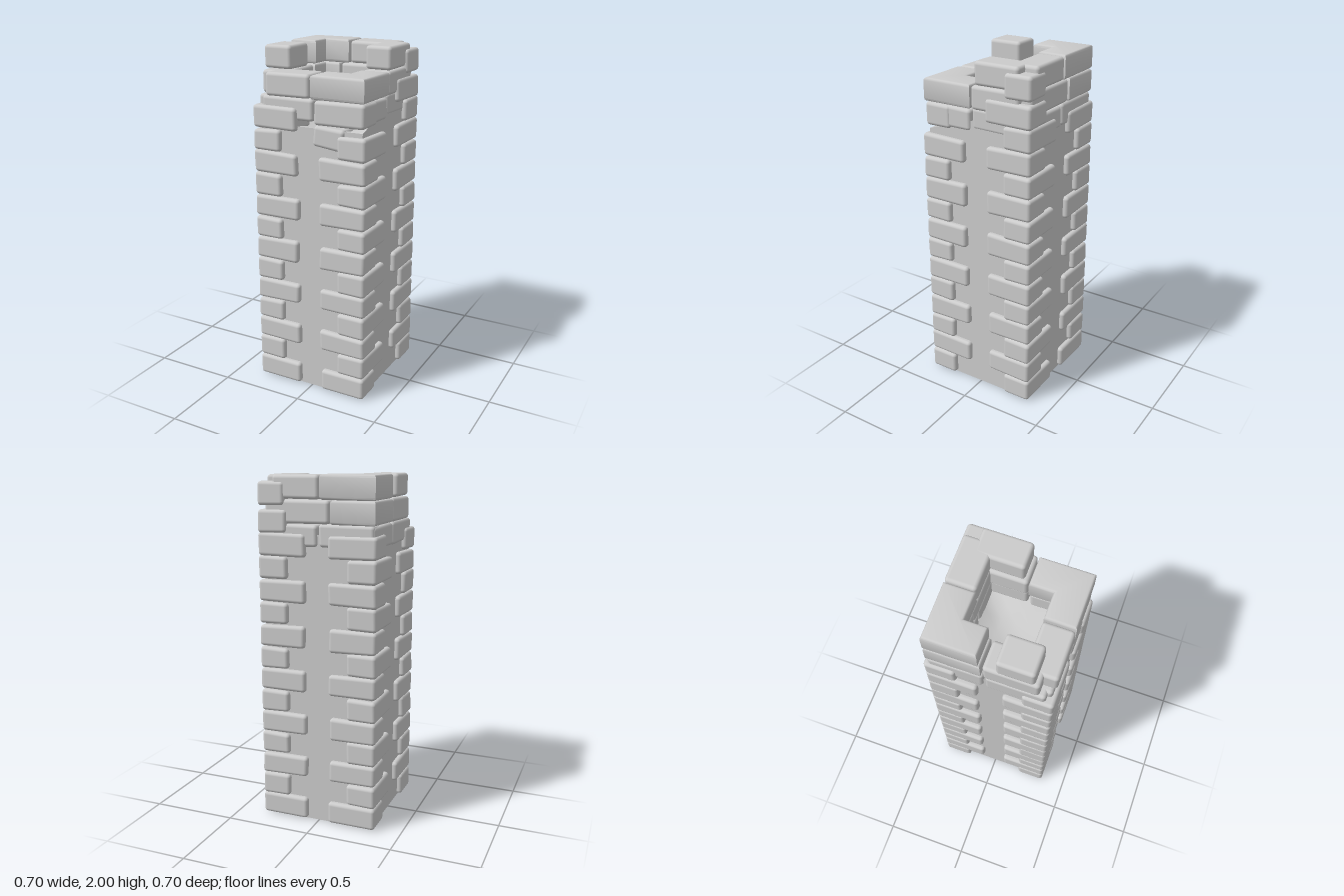
import * as THREE from 'three';
import { RoundedBoxGeometry } from 'three/addons/geometries/RoundedBoxGeometry.js';
import { toCreasedNormals } from 'three/addons/utils/BufferGeometryUtils.js';

const material = new THREE.MeshStandardMaterial({ color: 0xcccccc });

// Small seeded generator, returns -1..1
let seed = 7;
function jitter() {
  seed = (seed * 16807) % 2147483647;
  return (seed / 2147483647) * 2 - 1;
}

// Worn block given by its extents, slightly tapered and skewed
function stone(name, x0, x1, y0, y1, z0, z1, wear = 1, tilt = 0) {
  const w = x1 - x0, h = y1 - y0, d = z1 - z0;
  const geo = new RoundedBoxGeometry(w, h, d, 3, 0.02);
  const p = geo.attributes.position;
  const [tx, tz, sx, sz] = [0.1, 0.1, 0.02, 0.02].map((k) => k * wear * jitter());
  for (let i = 0; i < p.count; i++) {
    const x = p.getX(i), y = p.getY(i), z = p.getZ(i);
    p.setY(i, y * (1 + (tx * x) / w + (tz * z) / d) + sx * x + sz * z);
    p.setX(i, x + (sx * y * w) / h);
  }
  const mesh = new THREE.Mesh(geo, material);
  mesh.name = name;
  mesh.position.set((x0 + x1) / 2, (y0 + y1) / 2, (z0 + z1) / 2);
  mesh.rotation.z = tilt;
  return mesh;
}

// Angled block from a plan outline of [x, z] points, with rounded edges
function angledStone(name, outline, y0, y1) {
  const b = 0.016;
  const shape = new THREE.Shape(outline.map(([x, z]) => new THREE.Vector2(x, -z)));
  const geo = new THREE.ExtrudeGeometry(shape, {
    depth: y1 - y0 - 2 * b, bevelEnabled: true, bevelSize: b, bevelOffset: -b, bevelThickness: b, bevelSegments: 3,
  });
  geo.rotateX(-Math.PI / 2);
  const mesh = new THREE.Mesh(toCreasedNormals(geo, 0.7), material);
  mesh.name = name;
  mesh.position.y = y0 + b;
  return mesh;
}

// Square core with an uneven rim and a hollowed top
function core() {
  const geo = new THREE.BoxGeometry(0.64, 1.6, 0.64, 8, 1, 8);
  geo.translate(0, 0.8, 0);
  const p = geo.attributes.position;
  for (let i = 0; i < p.count; i++) {
    if (p.getY(i) < 1) continue;
    const x = p.getX(i), z = p.getZ(i);
    const edge = Math.max(Math.abs(x), Math.abs(z)) / 0.32;
    const rim = z > 0 ? 1.68 - 0.1 * (z / 0.32) : 1.68;
    p.setY(i, 1.52 + (rim - 1.52) * edge * edge);
  }
  geo.computeVertexNormals();
  const mesh = new THREE.Mesh(geo, material);
  mesh.name = 'core';
  return mesh;
}

export function createModel() {
  seed = 7;
  const tower = new THREE.Group();
  tower.name = 'stoneTower';
  tower.add(core());

  // Corner stones, alternating their long side between the two faces
  const quoins = new THREE.Group();
  quoins.name = 'cornerStones';
  const pitch = 0.129, out = 0.35;
  for (const sx of [-1, 1]) {
    for (const sz of [-1, 1]) {
      const courses = sx > 0 ? (sz > 0 ? 12 : 14) : 13;
      for (let i = 0; i < courses; i++) {
        const y = 0.07 + i * pitch;
        const inX = i % 2 ? 0.178 : 0.07 + 0.006 * jitter();
        const inZ = i % 2 ? 0.07 + 0.006 * jitter() : 0.178;
        const xs = [sx * inX, sx * out].sort((a, b) => a - b);
        const zs = [sz * inZ, sz * out].sort((a, b) => a - b);
        quoins.add(stone('cornerStone', ...xs, i ? y - 0.063 : 0.005, y + 0.063, ...zs, i ? 1 : 0));
      }
    }
  }
  tower.add(quoins);

  // Lower ring, partly broken, with a slipped block at the front
  const lower = new THREE.Group();
  lower.name = 'lowerRing';
  lower.add(
    stone('slippedStone', 0.025, 0.21, 1.475, 1.59, 0.18, 0.335, 1, -0.1),
    stone('ringStone', -0.3, 0.02, 1.61, 1.735, 0.17, 0.325),
    stone('ringStone', 0.03, 0.335, 1.6, 1.73, 0.17, 0.335),
    stone('ringStone', 0.175, 0.33, 1.61, 1.73, 0.04, 0.31),
    stone('ringStone', 0.175, 0.325, 1.62, 1.74, -0.3, 0.03),
    stone('ringStone', -0.335, -0.175, 1.61, 1.735, -0.02, 0.3),
    stone('ringStone', -0.335, -0.175, 1.61, 1.735, -0.33, -0.03),
    stone('ringStone', -0.33, -0.01, 1.61, 1.735, -0.335, -0.17),
    stone('ringStone', 0, 0.3, 1.61, 1.735, -0.335, -0.17),
  );
  tower.add(lower);

  // Middle ring
  const middle = new THREE.Group();
  middle.name = 'middleRing';
  middle.add(
    stone('ringStone', -0.27, 0.005, 1.735, 1.865, 0.165, 0.338, 0.5),
    angledStone('angledRingStone',
      [[0.015, 0.165], [0.165, 0.165], [0.165, 0.035], [0.335, 0.035], [0.335, 0.338], [0.015, 0.338]], 1.735, 1.866),
    stone('ringStone', 0.165, 0.335, 1.735, 1.865, -0.27, 0.03, 0.5),
    stone('ringStone', -0.335, -0.17, 1.735, 1.865, -0.03, 0.265, 0.5),
    angledStone('angledRingStone',
      [[-0.335, -0.335], [-0.08, -0.335], [-0.08, -0.17], [-0.17, -0.17], [-0.17, -0.04], [-0.335, -0.04]], 1.735, 1.865),
    stone('ringStone', -0.07, 0.31, 1.735, 1.865, -0.335, -0.17, 0.5),
  );
  tower.add(middle);

  // Top ring, open at the front right corner
  const top = new THREE.Group();
  top.name = 'topRing';
  top.add(
    stone('ringStone', -0.335, -0.165, 1.868, 1.998, 0.04, 0.24, 0.3),
    angledStone('angledRingStone',
      [[-0.335, -0.335], [-0.02, -0.338], [-0.02, -0.17], [-0.17, -0.17], [-0.17, -0.05], [-0.335, -0.05]], 1.866, 2),
    stone('ringStone', -0.012, 0.262, 1.868, 1.995, -0.34, -0.172, 0.3),
    stone('ringStone', 0.175, 0.33, 1.868, 1.995, -0.262, 0.01, 0.3),
    stone('cornerStone', 0.19, 0.348, 1.83, 1.96, -0.35, -0.185, 0.5),
  );
  tower.add(top);
  return tower;
}
